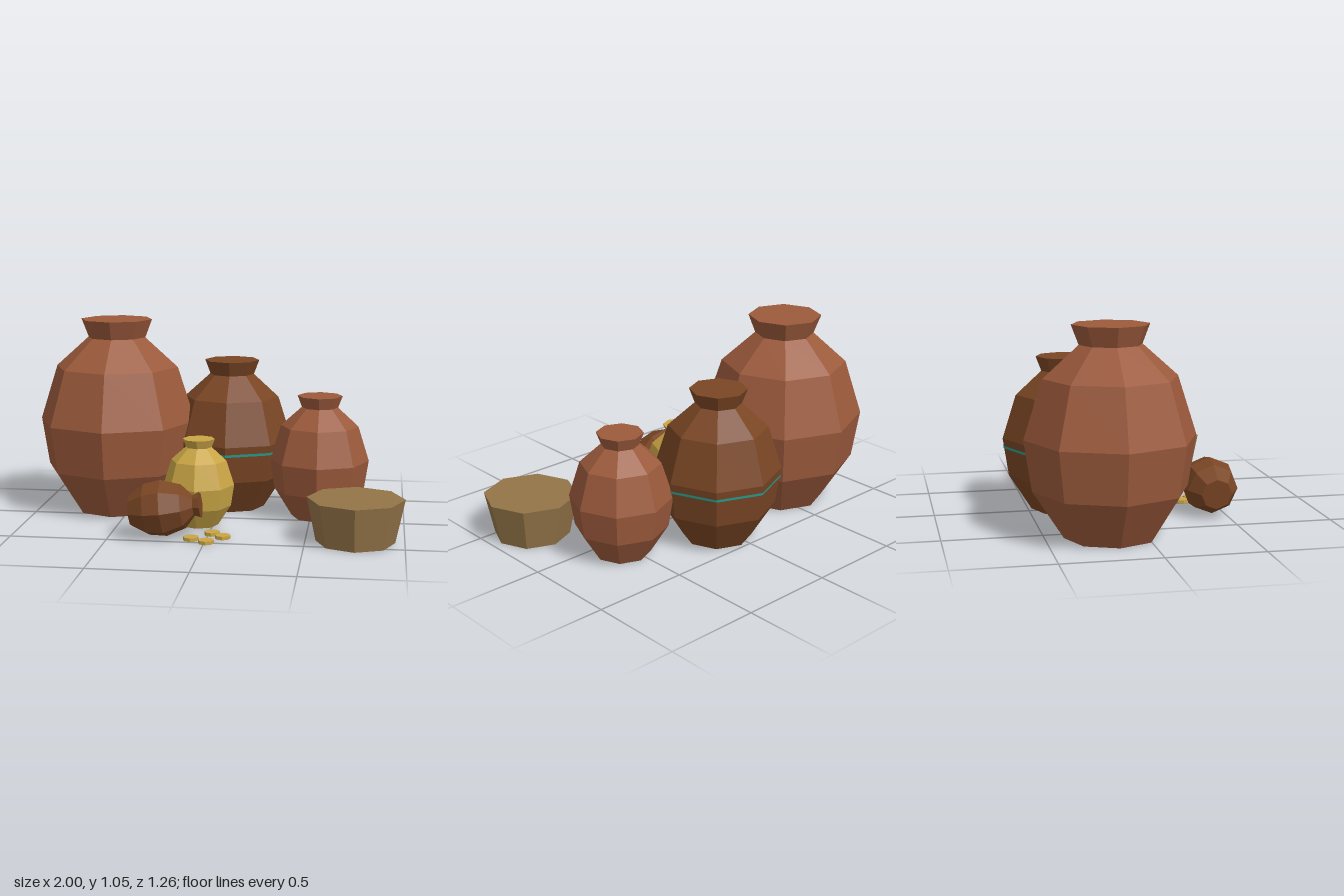
import * as THREE from 'three';

const material = (name, color) => {
  const m = new THREE.MeshStandardMaterial({ color, flatShading: true });
  m.name = name;
  return m;
};

// Shared jar outline: radius as a share of the belly, height as a share of the total
const JAR = [[0, 0], [0.547, 0], [0.908, 0.23], [1, 0.473], [0.78, 0.754], [0.365, 0.906], [0.4535, 1], [0, 1]];

function jarGeometry(radius, height) {
  return new THREE.LatheGeometry(JAR.map(([r, y]) => new THREE.Vector2(r * radius, y * height)), 8);
}

export function createModel() {
  const group = new THREE.Group();
  const terracotta = material('terracotta', 0x9c5a3c);
  const brown = material('dark brown clay', 0x7a4624);
  const gold = material('gold', 0xc9a545);
  const tan = material('tan', 0x947448);
  const teal = material('teal', 0x2a9d8f);
  teal.side = THREE.DoubleSide;

  const add = (name, geometry, mat, x, y, z) => {
    const mesh = new THREE.Mesh(geometry, mat);
    mesh.name = name;
    mesh.position.set(x, y, z);
    group.add(mesh);
    return mesh;
  };

  // Standing jars
  add('largeJar', jarGeometry(0.43, 1.05), terracotta, -0.57, 0, -0.17);
  add('bandedJar', jarGeometry(0.33, 0.82), brown, 0.047, 0, -0.3);
  add('mediumJar', jarGeometry(0.265, 0.66), terracotta, 0.542, 0, -0.11);
  add('goldJar', jarGeometry(0.187, 0.46), gold, -0.077, 0, 0.137);

  // Thin painted band just below the belly of the banded jar
  add('jarBand', new THREE.CylinderGeometry(0.3275, 0.3255, 0.014, 8, 1, true), teal, 0.047, 0.342, -0.3);

  // Jar lying on its side, mouth slightly raised
  const fallen = add('fallenJar', jarGeometry(0.147, 0.362), brown, -0.388, 0.134, 0.424);
  fallen.rotation.z = -(Math.PI / 2 - 0.12);

  // Tapered tub
  add('tub', new THREE.CylinderGeometry(0.247, 0.2, 0.225, 8), tan, 0.752, 0.1125, 0.38);

  // Coins by the mouth of the fallen jar
  for (const [x, z] of [[0.02, 0.343], [0.083, 0.403], [0.01, 0.503], [-0.073, 0.454]]) {
    add('coin', new THREE.CylinderGeometry(0.04, 0.04, 0.018, 8), gold, x, 0.009, z);
  }

  return group;
}
